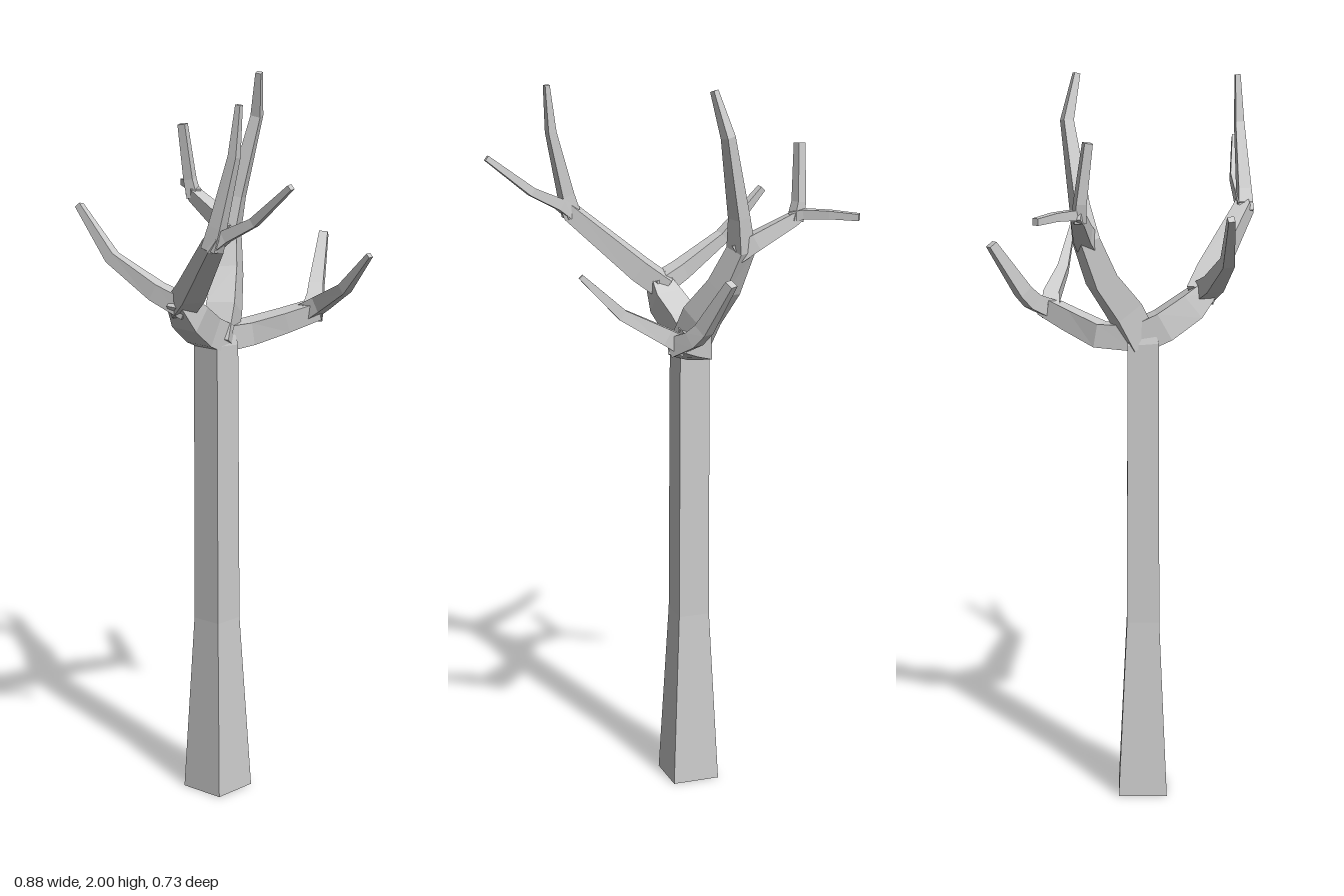
import * as THREE from 'three';

const material = new THREE.MeshStandardMaterial({ color: 0xcccccc, flatShading: true });

// Square-section limb swept through points [x, y, z, width], capped at both ends
function limb(name, points) {
  const centres = points.map(p => new THREE.Vector3(p[0], p[1], p[2]));
  const dirs = centres.slice(1).map((c, i) => c.clone().sub(centres[i]).normalize());
  const side = new THREE.Vector3(0, 1, 0).cross(dirs[0]);
  if (side.length() < 0.05) side.set(1, 0, 0);
  const positions = [], index = [];

  points.forEach((p, i) => {
    const before = dirs[Math.max(i - 1, 0)], after = dirs[Math.min(i, dirs.length - 1)];
    const t = before.clone().add(after).normalize();
    side.addScaledVector(t, -side.dot(t)).normalize();
    const up = t.clone().cross(side);
    for (const [a, b] of [[1, 1], [-1, 1], [-1, -1], [1, -1]]) {
      const v = centres[i].clone().addScaledVector(side, a * p[3] / 2).addScaledVector(up, b * p[3] / 2);
      positions.push(v.x, v.y, v.z);
    }
    if (i === 0) return;
    for (let j = 0; j < 4; j++) {
      const k = (j + 1) % 4, lo = (i - 1) * 4, hi = i * 4;
      index.push(lo + j, lo + k, hi + k, lo + j, hi + k, hi + j);
    }
  });
  const e = (points.length - 1) * 4;
  index.push(0, 2, 1, 0, 3, 2, e, e + 1, e + 2, e, e + 2, e + 3);

  const indexed = new THREE.BufferGeometry();
  indexed.setAttribute('position', new THREE.Float32BufferAttribute(positions, 3));
  indexed.setIndex(index);
  const geometry = indexed.toNonIndexed();
  geometry.computeVertexNormals();
  const mesh = new THREE.Mesh(geometry, material);
  mesh.name = name;
  return mesh;
}

export function createModel() {
  const tree = new THREE.Group();
  tree.name = 'bareTree';
  const add = (name, ...points) => tree.add(limb(name, points));

  // Trunk, flared at the foot
  add('trunk', [-0.056, 0, 0.058, 0.134], [-0.057, 0.5, 0.058, 0.089],
    [-0.058, 1.28, 0.057, 0.085], [-0.058, 1.33, 0.05, 0.06]);

  // Front bough and its two forks
  add('frontBough', [-0.057, 1.295, 0.045, 0.08], [-0.055, 1.325, 0.11, 0.082],
    [-0.035, 1.375, 0.185, 0.078], [-0.025, 1.43, 0.24, 0.05]);
  add('frontRightBranch', [-0.01, 1.405, 0.215, 0.055], [-0.1, 1.445, 0.245, 0.047],
    [-0.235, 1.525, 0.275, 0.032], [-0.355, 1.655, 0.278, 0.018]);
  add('frontLeftBranch', [-0.045, 1.405, 0.21, 0.062], [0.02, 1.455, 0.24, 0.062],
    [0.19, 1.61, 0.337, 0.045], [0.21, 1.635, 0.337, 0.03]);
  add('frontLeftUpperTwig', [0.188, 1.6, 0.34, 0.042], [0.205, 1.66, 0.337, 0.036],
    [0.25, 1.84, 0.324, 0.024], [0.262, 1.97, 0.319, 0.014]);
  add('frontLeftOuterTwig', [0.185, 1.61, 0.337, 0.042], [0.225, 1.637, 0.328, 0.032],
    [0.31, 1.68, 0.315, 0.024], [0.435, 1.78, 0.32, 0.015]);

  // Low back bough and its two forks
  add('backBough', [-0.06, 1.295, 0.045, 0.07], [-0.045, 1.298, -0.06, 0.064],
    [0.02, 1.327, -0.14, 0.057], [0.075, 1.355, -0.21, 0.05]);
  add('backRightBranch', [0.075, 1.345, -0.19, 0.052], [0.04, 1.375, -0.245, 0.045],
    [0.022, 1.405, -0.27, 0.04], [-0.022, 1.54, -0.352, 0.024]);
  add('backLeftBranch', [0.05, 1.345, -0.195, 0.05], [0.1, 1.375, -0.195, 0.044],
    [0.21, 1.435, -0.165, 0.03], [0.315, 1.54, -0.14, 0.014]);

  // Tall bough with its leader
  add('tallBough', [-0.055, 1.28, 0.05, 0.078], [-0.075, 1.37, 0.005, 0.08],
    [-0.115, 1.46, -0.055, 0.068], [-0.148, 1.57, -0.095, 0.056],
    [-0.135, 1.66, -0.112, 0.042], [-0.09, 1.88, -0.145, 0.028], [-0.06, 2, -0.12, 0.016]);

  // Side branch of the tall bough and its twigs
  add('tallSideBranch', [-0.135, 1.56, -0.09, 0.052], [-0.185, 1.59, -0.102, 0.046],
    [-0.29, 1.645, -0.112, 0.034], [-0.315, 1.66, -0.118, 0.026]);
  add('tallSideUpperTwig', [-0.295, 1.64, -0.112, 0.032], [-0.307, 1.69, -0.108, 0.028],
    [-0.315, 1.845, -0.088, 0.022]);
  add('tallSideOuterTwig', [-0.285, 1.65, -0.108, 0.03], [-0.315, 1.66, -0.128, 0.026],
    [-0.37, 1.663, -0.172, 0.022], [-0.435, 1.66, -0.218, 0.018]);

  return tree;
}
